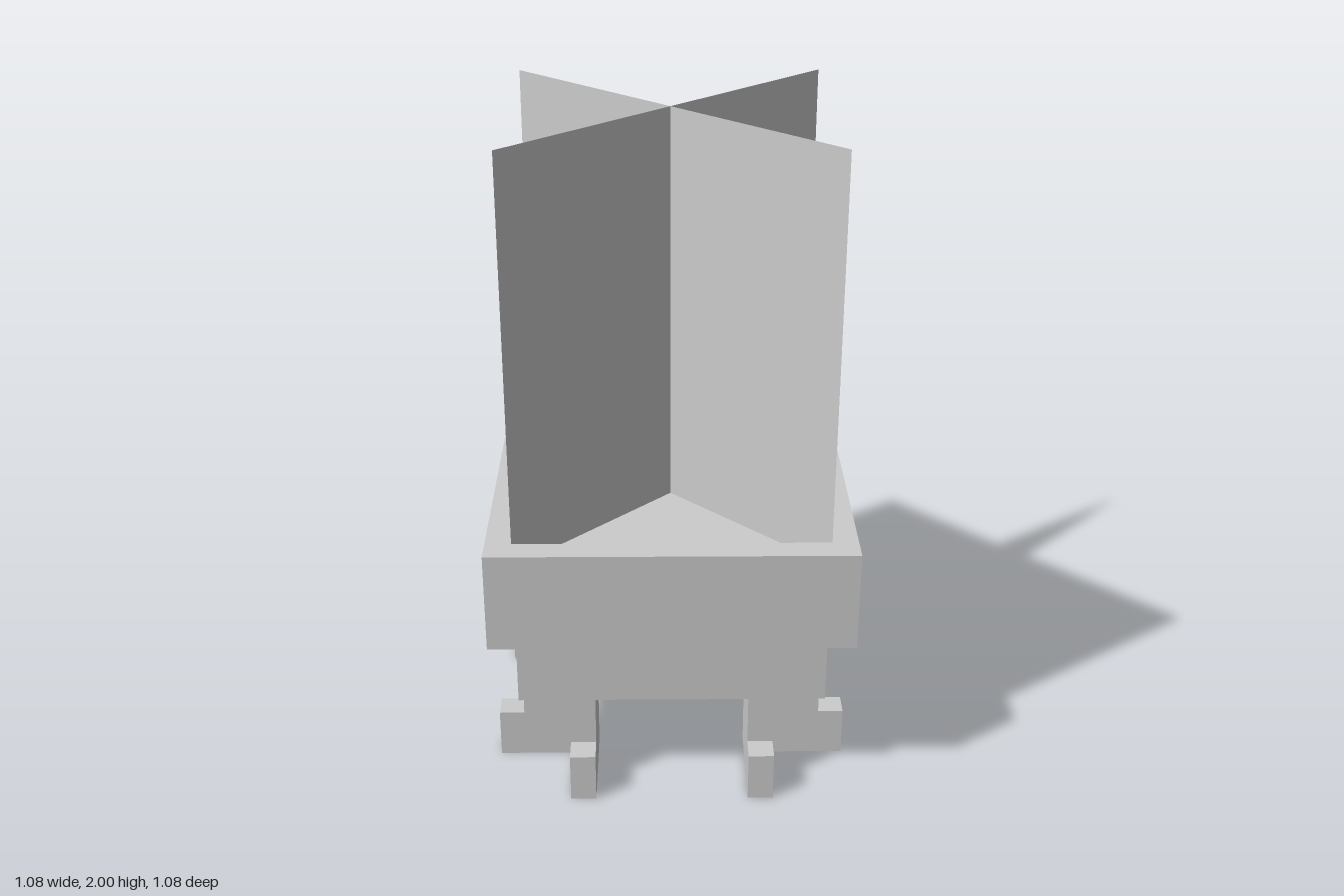
import * as THREE from 'three';

const U = 2 / 26; // one block unit
const mat = new THREE.MeshStandardMaterial({ color: 0xcccccc, flatShading: true });
const thinMat = new THREE.MeshStandardMaterial({ color: 0xcccccc, flatShading: true, side: THREE.DoubleSide });

function add(parent, name, geometry, material = mat) {
  const mesh = new THREE.Mesh(geometry, material);
  mesh.name = name;
  parent.add(mesh);
  return mesh;
}

// Square block centred on the axis, from height y0 to y1
function block(parent, name, half, y0, y1) {
  const geo = new THREE.BoxGeometry(half * 2, y1 - y0, half * 2);
  return add(parent, name, geo.translate(0, (y0 + y1) / 2, 0));
}

// Upright plate with an outward toe, running along +x
function legPlate(start) {
  const outline = [[start, 0], [7, 0], [7, 2], [6, 2], [6, 4], [start, 4]];
  const shape = new THREE.Shape(outline.map(([x, y]) => new THREE.Vector2(x, y)));
  return new THREE.ExtrudeGeometry(shape, { depth: 1, bevelEnabled: false }).translate(0, 0, 3);
}

function square(half, Type) {
  return new Type([[-half, -half], [half, -half], [half, half], [-half, half]]
    .map(([x, y]) => new THREE.Vector2(x, y)));
}

export function createModel() {
  const model = new THREE.Group();
  model.name = 'footedPlanter';
  const parts = new THREE.Group();
  parts.name = 'planterParts';
  parts.scale.setScalar(U);
  model.add(parts);

  // Pot: base slab and body, whose top is the soil just below the rim
  block(parts, 'baseSlab', 4, 3, 4);
  block(parts, 'potBody', 6, 4, 10);

  // Rim: square frame around the top of the body
  const frame = square(7, THREE.Shape);
  frame.holes.push(square(6, THREE.Path));
  const rim = new THREE.ExtrudeGeometry(frame, { depth: 4, bevelEnabled: false });
  add(parts, 'rim', rim.rotateX(-Math.PI / 2).translate(0, 7, 0));

  // Four legs, each of two plates meeting at a right angle
  for (let i = 0; i < 4; i++) {
    const leg = new THREE.Group();
    leg.name = 'leg' + (i + 1);
    add(leg, 'sidePlate', legPlate(3));
    add(leg, 'frontPlate', legPlate(4).rotateY(-Math.PI / 2).translate(7, 0, 0));
    leg.rotation.y = i * Math.PI / 2;
    parts.add(leg);
  }

  // Plant: two thin panels crossing on the diagonals
  for (const side of [1, -1]) {
    const panel = new THREE.PlaneGeometry(12 * Math.SQRT2, 16).translate(0, 18, 0);
    const mesh = add(parts, side > 0 ? 'plantPanelA' : 'plantPanelB', panel, thinMat);
    mesh.rotation.y = side * Math.PI / 4;
  }
  return model;
}
